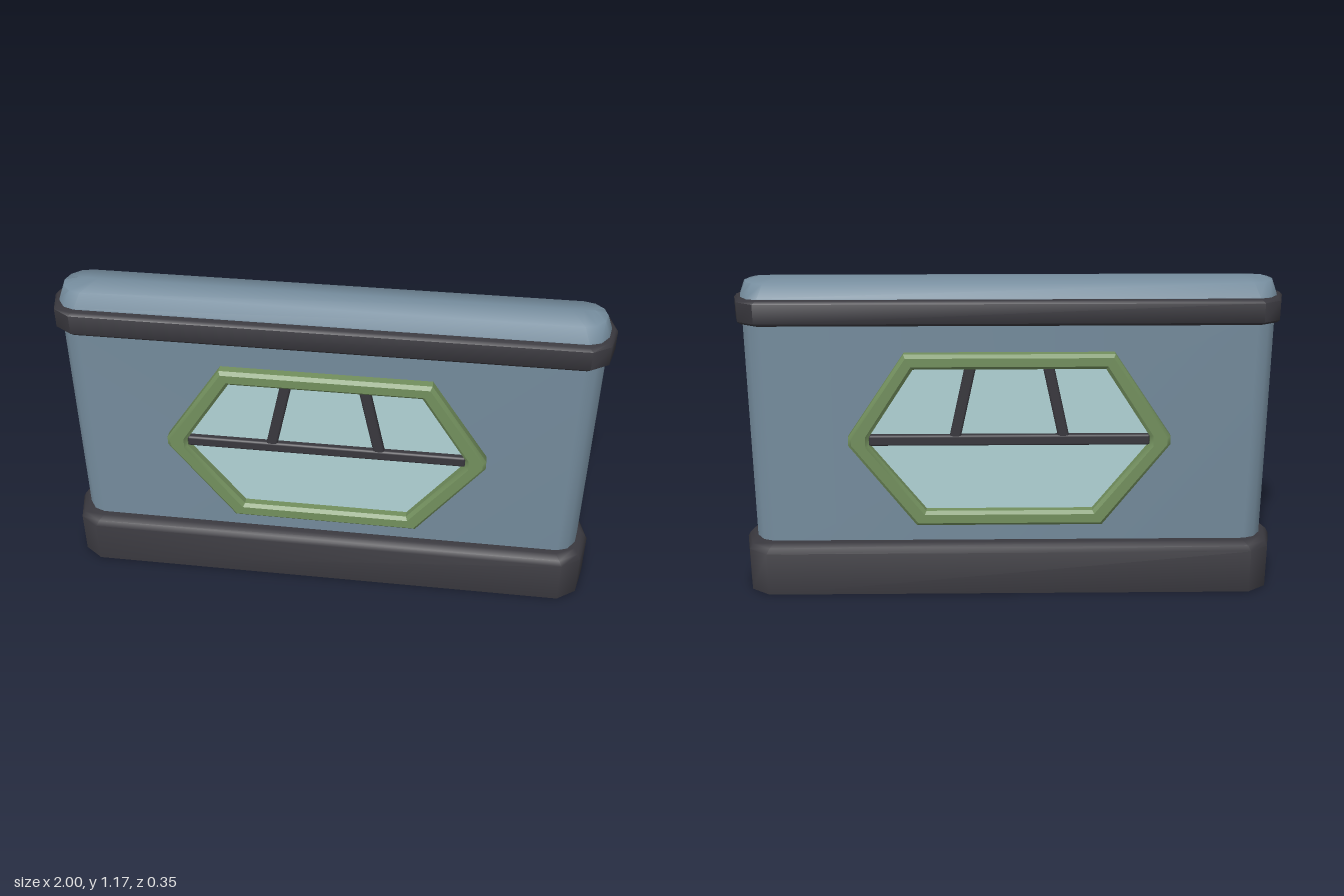
import * as THREE from 'three';
import { toCreasedNormals } from 'three/addons/utils/BufferGeometryUtils.js';
import { RoundedBoxGeometry } from 'three/addons/geometries/RoundedBoxGeometry.js';

function material(name, color, side = THREE.FrontSide) {
  const m = new THREE.MeshStandardMaterial({ color, side });
  m.name = name;
  return m;
}

// Long plan outline with elliptical ends: halfX, halfZ, length of the curved end
function outline(halfX, halfZ, end, segments) {
  const points = [];
  for (const s of [1, -1]) {
    for (let i = 0; i <= segments; i++) {
      const a = -Math.PI / 2 + (Math.PI * i) / segments;
      points.push([s * (halfX - end + end * Math.cos(a)), s * halfZ * Math.sin(a)]);
    }
  }
  return points;
}

// Skin over stacked outlines given as [halfX, halfZ, y], from the bottom up
function loft(levels, end, segments, crease = 0.9) {
  const positions = [];
  const index = [];
  const n = 2 * (segments + 1);
  for (const [hx, hz, y] of levels) {
    for (const [x, z] of outline(hx, hz, end, segments)) positions.push(x, y, z);
  }
  for (let k = 0; k < levels.length - 1; k++) {
    for (let i = 0; i < n; i++) {
      const a = k * n + i;
      const b = k * n + ((i + 1) % n);
      index.push(a, a + n, b, b, a + n, b + n);
    }
  }
  const geo = new THREE.BufferGeometry();
  geo.setAttribute('position', new THREE.Float32BufferAttribute(positions, 3));
  geo.setIndex(index);
  return toCreasedNormals(geo, crease);
}

// Hexagon with slightly blunted side tips
function hexagon(PathType, tip, topX, topY, bottomX, bottomY) {
  const right = [[bottomX, bottomY], [tip, 0.58], [tip, 0.612], [topX, topY]];
  const left = right.map(([x, y]) => [-x, y]).reverse();
  return new PathType([...right, ...left].map(([x, y]) => new THREE.Vector2(x, y)));
}

export function createModel() {
  const model = new THREE.Group();
  model.name = 'wallSection';
  const wallBlue = material('wallBlue', 0x748b9c);
  const darkTrim = material('darkTrim', 0x38373d, THREE.DoubleSide);
  const frameGreen = material('frameGreen', 0x728f5d);
  const glass = material('paleGlass', 0xb0d3d5);

  const add = (parent, name, geo, mat) => {
    const mesh = new THREE.Mesh(geo, mat);
    mesh.name = name;
    parent.add(mesh);
    return mesh;
  };

  // Hollow skirt with a soft shoulder
  add(model, 'base', loft([
    [1, 0.175, 0], [1, 0.175, 0.165], [0.99, 0.163, 0.183],
    [0.975, 0.138, 0.195], [0.95, 0.11, 0.195],
  ], 0.1, 4), darkTrim);

  // Wall panel, closed underneath
  add(model, 'wall', loft([
    [0.9, 0, 0.14], [0.96, 0.117, 0.14], [0.96, 0.117, 1.06],
  ], 0.08, 6), wallBlue);

  // Band near the top
  add(model, 'topBand', loft([
    [0.95, 0.11, 1.02], [0.975, 0.137, 1.02], [0.985, 0.147, 1.03],
    [0.985, 0.147, 1.1], [0.975, 0.137, 1.11], [0.94, 0.1, 1.11],
  ], 0.09, 4), darkTrim);

  // Ridged coping
  add(model, 'coping', loft([
    [0.965, 0.117, 1.1], [0.962, 0.115, 1.115], [0.945, 0.085, 1.16], [0.9, 0, 1.175],
  ], 0.08, 6), wallBlue);

  // The same window on both faces
  for (const [name, turn] of [['frontWindow', 0], ['backWindow', Math.PI]]) {
    const win = new THREE.Group();
    win.name = name;
    win.rotation.y = turn;
    model.add(win);

    const frameShape = hexagon(THREE.Shape, 0.583, 0.375, 0.92, 0.342, 0.268);
    frameShape.holes.push(hexagon(THREE.Path, 0.508, 0.343, 0.865, 0.306, 0.325));
    const frame = new THREE.ExtrudeGeometry(frameShape, {
      depth: 0.04, bevelEnabled: true, bevelSize: 0.012, bevelThickness: 0.012,
      bevelOffset: -0.012, bevelSegments: 1,
    });
    frame.translate(0, 0, 0.108);
    add(win, 'windowFrame', toCreasedNormals(frame, 0.6), frameGreen);

    const pane = new THREE.ShapeGeometry(hexagon(THREE.Shape, 0.53, 0.355, 0.88, 0.315, 0.31));
    pane.translate(0, 0, 0.122);
    add(win, 'windowPane', pane, glass);

    // Glazing bars
    add(win, 'crossBar', new RoundedBoxGeometry(1.02, 0.04, 0.036, 1, 0.008), darkTrim)
      .position.set(0, 0.596, 0.126);
    for (const s of [1, -1]) {
      const bar = add(win, 'slantedBar', new RoundedBoxGeometry(0.04, 0.275, 0.034, 1, 0.008), darkTrim);
      bar.position.set(s * 0.168, 0.738, 0.125);
      bar.rotation.z = s * Math.atan2(0.055, 0.25);
    }
  }
  return model;
}
